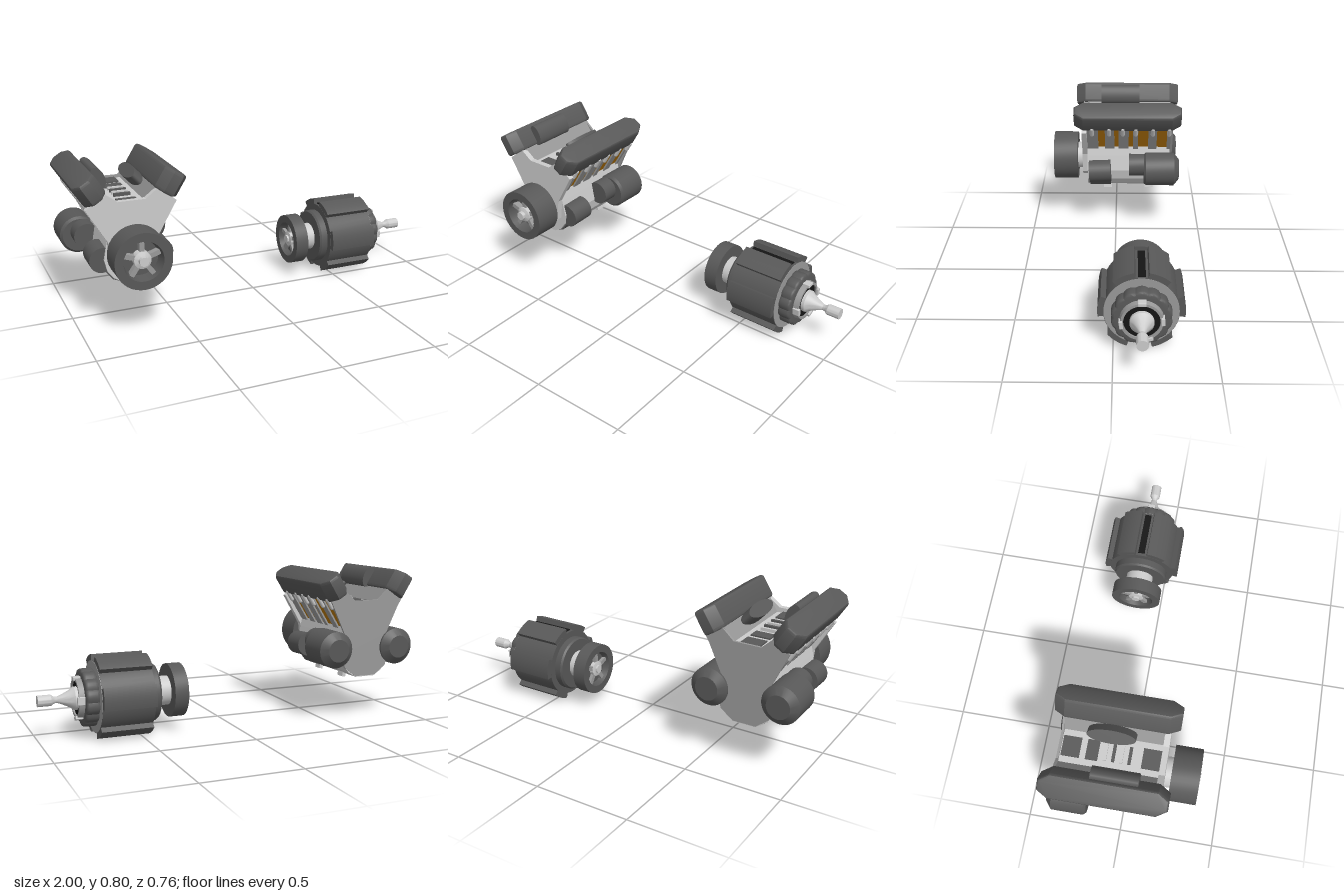
import * as THREE from 'three';
import { RoundedBoxGeometry } from 'three/addons/geometries/RoundedBoxGeometry.js';
import { toCreasedNormals } from 'three/addons/utils/BufferGeometryUtils.js';

const material = (color) => new THREE.MeshStandardMaterial({ color });
const light = material(0xcccccc), mid = material(0x999999), dark = material(0x585858);
const black = material(0x151515), orange = material(0xb5750a);

function add(parent, name, geometry, mat, x = 0, y = 0, z = 0) {
  const mesh = new THREE.Mesh(geometry, mat);
  mesh.name = name;
  mesh.position.set(x, y, z);
  parent.add(mesh);
  return mesh;
}
const box = (w, h, d) => new THREE.BoxGeometry(w, h, d);

// Turned part: points are [radius, distance along the axis], axis 'x' or 'z'
function turned(points, axis, segments = 40) {
  const lathe = new THREE.LatheGeometry(points.map(([r, d]) => new THREE.Vector2(r, d)), segments);
  const g = toCreasedNormals(lathe, 0.5);
  return axis === 'x' ? g.rotateZ(-Math.PI / 2) : g.rotateX(Math.PI / 2);
}

// Symmetric outline from its right half, extruded from z0 to z1
function mirroredSlab(half, z0, z1) {
  const left = half.slice().reverse().map(([x, y]) => [-x, y]);
  const shape = new THREE.Shape([...half, ...left].map(([x, y]) => new THREE.Vector2(x, y)));
  return new THREE.ExtrudeGeometry(shape, { depth: z1 - z0, bevelEnabled: false }).translate(0, 0, z0);
}

// Wheel with a recessed face, spokes and hub; its face points along +z
function spokedWheel(name, radius, depth) {
  const wheel = new THREE.Group();
  wheel.name = name;
  add(wheel, 'rim', turned([[0, 0], [radius, 0], [radius, depth], [radius * 0.7, depth],
    [radius * 0.62, depth * 0.55], [0, depth * 0.55]], 'z'), dark);
  add(wheel, 'hub', turned([[0, 0], [radius * 0.3, 0], [radius * 0.3, depth * 0.85],
    [radius * 0.16, depth * 0.9], [radius * 0.16, depth * 1.04], [0, depth * 1.04]], 'z'), light);
  for (let i = 0; i < 5; i++) {
    const a = Math.PI / 2 + i * Math.PI * 0.4;
    const spoke = add(wheel, 'spoke', box(radius * 0.5, radius * 0.17, depth * 0.3), mid,
      Math.cos(a) * radius * 0.45, Math.sin(a) * radius * 0.45, depth * 0.65);
    spoke.rotation.z = a;
  }
  return wheel;
}

// One leaning cylinder bank: ribs, coloured strips, pegs and the cover
function cylinderBank(side) {
  const bank = new THREE.Group();
  bank.name = side > 0 ? 'leftBank' : 'rightBank';
  bank.rotation.z = -side * 0.56;
  const zBack = -0.325, zFront = 0.175;
  add(bank, 'bankCore', box(0.09, 0.34, 0.5), mid, -side * 0.007, 0.17, -0.075);
  add(bank, 'bankFoot', box(0.104, 0.1, 0.5), mid, 0, 0.045, -0.075);
  const strips = [[-0.30, -0.24], [-0.19, -0.13], [-0.10, -0.075], [-0.015, 0.01], [0.065, 0.105]];
  const edges = [zBack, ...strips.flat(), zFront];
  for (let i = 0; i < edges.length - 1; i++) {
    const depth = edges[i + 1] - edges[i], z = (edges[i + 1] + edges[i]) / 2;
    if (i % 2) add(bank, 'strip', box(0.01, 0.236, depth), orange, side * 0.038, 0.212, z);
    else add(bank, 'rib', box(0.104, 0.25, depth), mid, 0, 0.215, z);
  }
  for (const z of [0.14, 0.04, -0.04, -0.115, -0.215, -0.31])
    add(bank, 'peg', new THREE.CapsuleGeometry(0.0125, 0.05, 4, 12), light, side * 0.056, 0.307, z);

  // Cover: plan with cut corners, raised along the bank with a bevel
  const w = 0.05, c = 0.03, z0 = -0.366, z1 = 0.231;
  const plan = new THREE.Shape([[-w + c, z0], [w - c, z0], [w, z0 + 0.045], [w, z1 - 0.045],
    [w - c, z1], [-w + c, z1], [-w, z1 - 0.045], [-w, z0 + 0.045]].map(([x, z]) => new THREE.Vector2(x, -z)));
  const cover = new THREE.ExtrudeGeometry(plan, { depth: 0.09, bevelThickness: 0.015, bevelSize: 0.012, bevelSegments: 3 });
  add(bank, 'cover', toCreasedNormals(cover.rotateX(-Math.PI / 2), 0.5), dark, 0, 0.333, 0);
  return bank;
}

function engine() {
  const group = new THREE.Group();
  group.name = 'engine';
  group.position.x = -0.719;
  const cy = 0.403;

  add(group, 'block', mirroredSlab([[0.055, 0.235], [0.1, 0.262], [0.128, 0.3], [0.142, 0.36],
    [0.125, 0.45], [0.085, 0.63]], -0.328, 0.17), light);
  add(group, 'frontPlate', mirroredSlab([[0.06, 0.305], [0.11, 0.34], [0.125, 0.46], [0.225, 0.63],
    [0.13, 0.70], [0.07, 0.655]], 0.17, 0.2), light);
  add(group, 'backPlate', mirroredSlab([[0.06, 0.24], [0.125, 0.29], [0.142, 0.36], [0.125, 0.46],
    [0.21, 0.64], [0.13, 0.70], [0.07, 0.645]], -0.332, -0.32), mid);
  add(group, 'oilPan', mirroredSlab([[0.05, 0.23], [0.1, 0.25], [0.135, 0.295]], 0.03, 0.155), dark);

  // Valley between the banks
  for (const [z, d] of [[-0.27, 0.09], [-0.165, 0.06], [0.13, 0.1]])
    add(group, 'valleyPanel', box(0.1, 0.01, d), dark, 0, 0.632, z);
  for (let i = 0; i < 4; i++)
    add(group, 'valleyBar', box(0.085, 0.02, 0.015), i % 2 ? dark : light, 0, 0.636, -0.1 + i * 0.04);

  for (const side of [-1, 1]) {
    const bank = cylinderBank(side);
    bank.position.y = cy;
    group.add(bank);
    // Side canisters
    add(group, 'canister', turned([[0, -0.372], [0.06, -0.372], [0.097, -0.342], [0.097, -0.178],
      [0.085, -0.165], [0, -0.165]], 'z'), dark, side * 0.185, 0.39, 0);
    add(group, 'canisterNeck', turned([[0, -0.18], [0.065, -0.18], [0.065, -0.078], [0, -0.078]], 'z', 28),
      dark, side * 0.165, 0.408, 0);
    const pump = add(group, 'pump', new THREE.CylinderGeometry(0.065, 0.065, 0.13, 28).rotateX(Math.PI / 2),
      dark, side * 0.148, 0.36, 0.095);
    pump.rotation.x = 0.04;
    for (const z of [0.05, -0.2]) {
      const foot = add(group, 'foot', box(0.02, 0.045, 0.05), light, side * 0.062, 0.24, z);
      foot.rotation.z = side * 0.2;
    }
  }

  // Long oval housing on one bank, round cap on the other
  const housing = add(group, 'valleyHousing',
    new THREE.CylinderGeometry(1, 1, 0.23, 32).rotateX(Math.PI / 2).scale(0.033, 0.057, 1), dark, -0.13, 0.75, -0.025);
  housing.rotation.z = 0.4;
  const cap = add(group, 'valleyCap', new THREE.CylinderGeometry(1, 1, 0.06, 32).scale(0.036, 1, 0.12),
    dark, 0.075, 0.71, -0.08);
  cap.rotation.z = 0.75;

  add(group, 'crankCollar', turned([[0, 0.16], [0.078, 0.16], [0.078, 0.235], [0, 0.235]], 'z'), light, 0, cy, 0);
  const pulley = spokedWheel('pulley', 0.142, 0.142);
  pulley.position.set(0, cy, 0.23);
  group.add(pulley);
  return group;
}

function motor() {
  const group = new THREE.Group();
  group.name = 'motor';
  group.position.set(0, 0.21, -0.135);

  const wheel = spokedWheel('motorWheel', 0.137, 0.072);
  wheel.rotation.y = -Math.PI / 2;
  wheel.position.x = 0.338;
  group.add(wheel);
  add(group, 'neck', turned([[0, 0.33], [0.075, 0.33], [0.075, 0.42], [0, 0.42]], 'x'), light);
  add(group, 'drum', turned([[0, 0.41], [0.14, 0.41], [0.147, 0.42], [0.147, 0.455], [0.182, 0.455],
    [0.182, 0.722], [0, 0.722]], 'x', 48), dark);
  add(group, 'drumFace', turned([[0, 0.7], [0.18, 0.7], [0.18, 0.724], [0, 0.724]], 'x', 48), mid);

  // Angles run from the back (-z) towards the top
  for (const degrees of [7, 65, 115, 173, 235, 300]) {
    const fin = new THREE.Group();
    fin.name = 'fin';
    fin.rotation.x = THREE.MathUtils.degToRad(degrees);
    const arc = new THREE.Shape();
    arc.absarc(0, 0, 0.21, -0.27, 0.27, false);
    arc.absarc(0, 0, 0.17, 0.27, -0.27, true);
    const g = new THREE.ExtrudeGeometry(arc, { depth: 0.265, bevelEnabled: false, curveSegments: 8 });
    add(fin, 'finBody', g.rotateY(Math.PI / 2), dark, 0.456, 0, 0);
    group.add(fin);
  }
  for (const side of [-1, 1])
    add(group, 'slot', box(0.24, 0.012, 0.036), black, 0.59, side * 0.18, 0);

  // Scalloped end ring
  const scallop = new THREE.Shape();
  for (let i = 0; i <= 112; i++) {
    const a = (i / 112) * Math.PI * 2, r = 0.126 + 0.009 * Math.abs(Math.sin(a * 7));
    if (i) scallop.lineTo(Math.cos(a) * r, Math.sin(a) * r);
    else scallop.moveTo(r, 0);
  }
  const ring = new THREE.ExtrudeGeometry(scallop, { depth: 0.04, bevelThickness: 0.014, bevelSize: 0.011, bevelSegments: 3 });
  add(group, 'scallopedRing', toCreasedNormals(ring.rotateY(Math.PI / 2), 0.6), dark, 0.734, 0, 0);

  // Nose: collar, black seal, clips and shaft
  add(group, 'collar', turned([[0, 0.77], [0.107, 0.77], [0.1, 0.815], [0.087, 0.815], [0.087, 0.795], [0, 0.795]], 'x'), mid);
  add(group, 'seal', turned([[0, 0.79], [0.087, 0.79], [0.087, 0.806], [0, 0.806]], 'x'), black);
  for (const degrees of [3, 90, 188, 290]) {
    const a = THREE.MathUtils.degToRad(degrees);
    const clip = add(group, 'clip', new RoundedBoxGeometry(0.04, 0.04, 0.018, 2, 0.003), light,
      0.805, Math.sin(a) * 0.099, -Math.cos(a) * 0.099);
    clip.rotation.x = a;
  }
  add(group, 'shaft', turned([[0, 0.79], [0.058, 0.79], [0.058, 0.822], [0.042, 0.845], [0.025, 0.88],
    [0.015, 0.905], [0.017, 0.918], [0.028, 0.935], [0.028, 1], [0, 1]], 'x', 32), light);
  return group;
}

export function createModel() {
  const model = new THREE.Group();
  model.name = 'engineAndMotor';
  model.add(engine(), motor());
  return model;
}
